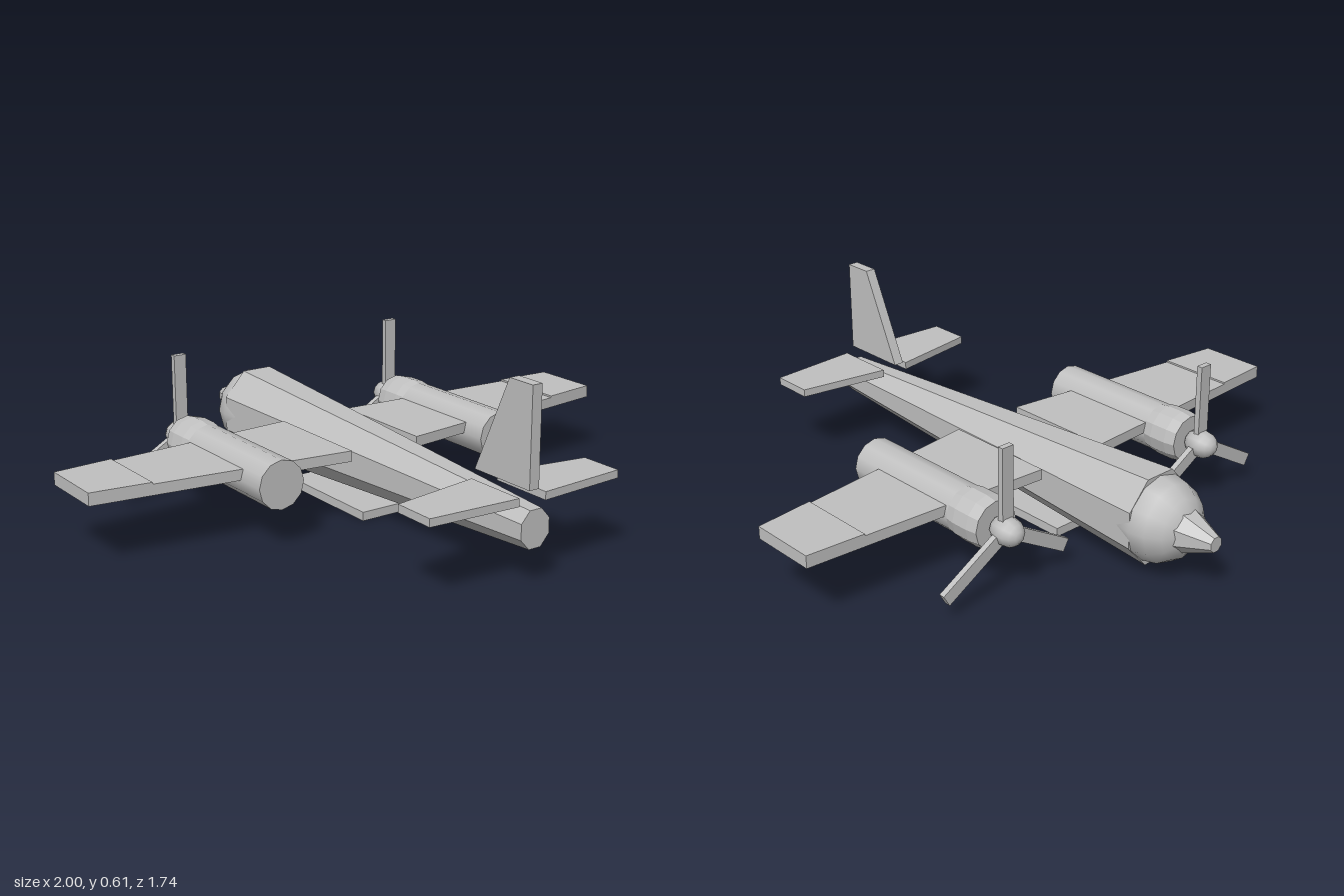
import * as THREE from 'three';

export function createModel() {
  const model = new THREE.Group();
  const grey = new THREE.MeshStandardMaterial({ color: 0xc0c0c0 });
  grey.name = 'plain grey';

  function add(name, geometry, x = 0, y = 0, z = 0, parent = model) {
    const mesh = new THREE.Mesh(geometry, grey);
    mesh.name = name;
    mesh.position.set(x, y, z);
    parent.add(mesh);
    return mesh;
  }

  // Faceted geometry with hard edges
  function faceted(geometry) {
    const flat = geometry.toNonIndexed();
    flat.computeVertexNormals();
    return flat;
  }

  // Flat-topped octagonal tube along z, given half-heights at the rear and front
  function octagonTube(rear, front, length, widthScale) {
    const k = 1 / Math.cos(Math.PI / 8);
    return faceted(new THREE.CylinderGeometry(rear * k, front * k, length, 8)
      .rotateY(Math.PI / 8).rotateX(Math.PI / 2).scale(widthScale, 1, 1));
  }

  // Horizontal plate from an [x, z] outline, between two heights
  function slab(outline, bottom, top, side) {
    const shape = new THREE.Shape(outline.map(([x, z]) => new THREE.Vector2(x * side, -z)));
    return new THREE.ExtrudeGeometry(shape, { depth: top - bottom, bevelEnabled: false })
      .rotateX(-Math.PI / 2).translate(0, bottom, 0);
  }

  // Fuselage, tapering to the tail at +z
  add('fuselage', octagonTube(0.06, 0.147, 1.51, 0.89), 0, 0.179, 0.115);
  add('noseDome', new THREE.SphereGeometry(0.143, 12, 8).rotateX(-Math.PI / 2).scale(0.97, 1, 1), 0, 0.179, -0.64);
  add('noseTip', octagonTube(0.08, 0.024, 0.15, 1), 0, 0.179, -0.795);
  add('bellyPlate', new THREE.BoxGeometry(0.18, 0.03, 0.435), 0, 0.015, -0.0725);

  // Upright tail fin
  const finShape = new THREE.Shape([[0.615, 0.295], [0.86, 0.295], [0.86, 0.61], [0.76, 0.61]]
    .map(([z, y]) => new THREE.Vector2(z, y)));
  add('tailFin', new THREE.ExtrudeGeometry(finShape, { depth: 0.036, bevelEnabled: false })
    .rotateY(-Math.PI / 2).translate(0.018, 0, 0));

  // Engine cowl profile: radius and distance along the axis
  const cowlProfile = [[0, -0.07], [0.08, -0.07], [0.086, -0.03], [0.086, 0.03], [0.08, 0.07], [0, 0.07]]
    .map(([r, h]) => new THREE.Vector2(r, h));

  for (const side of [1, -1]) {
    const label = side > 0 ? 'left' : 'right';

    // Wing with a slightly thicker outer panel
    add(label + 'InnerWing', slab([[0.13, -0.26], [0.8, -0.218], [0.8, 0.055], [0.13, 0.14]], 0.21, 0.246, side));
    add(label + 'OuterWing', slab([[0.8, -0.218], [1, -0.205], [1, 0.03], [0.8, 0.055]], 0.21, 0.252, side));
    add(label + 'Stabilizer', slab([[0.05, 0.64], [0.36, 0.69], [0.36, 0.835], [0.05, 0.855]], 0.252, 0.278, side));

    // Engine with cowl and three-bladed propeller
    const engine = new THREE.Group();
    engine.name = label + 'Engine';
    engine.position.set(side * 0.435, 0.21, 0);
    model.add(engine);
    add('nacelle', new THREE.CylinderGeometry(0.081, 0.081, 0.57, 12).rotateX(Math.PI / 2), 0, 0, -0.085, engine);
    const cowl = faceted(new THREE.LatheGeometry(cowlProfile, 12)).rotateX(Math.PI / 2);
    add('cowl', cowl, 0, 0, -0.31, engine);
    add('propellerHub', new THREE.SphereGeometry(0.048, 10, 8).rotateX(Math.PI / 2).scale(1, 1, 1.25), 0, 0, -0.43, engine);
    for (let i = 0; i < 3; i++) {
      const blade = add('propellerBlade', new THREE.BoxGeometry(0.044, 0.28, 0.02).translate(0, 0.14, 0), 0, 0, -0.425, engine);
      blade.rotation.z = i * Math.PI * 2 / 3;
    }
  }
  return model;
}
